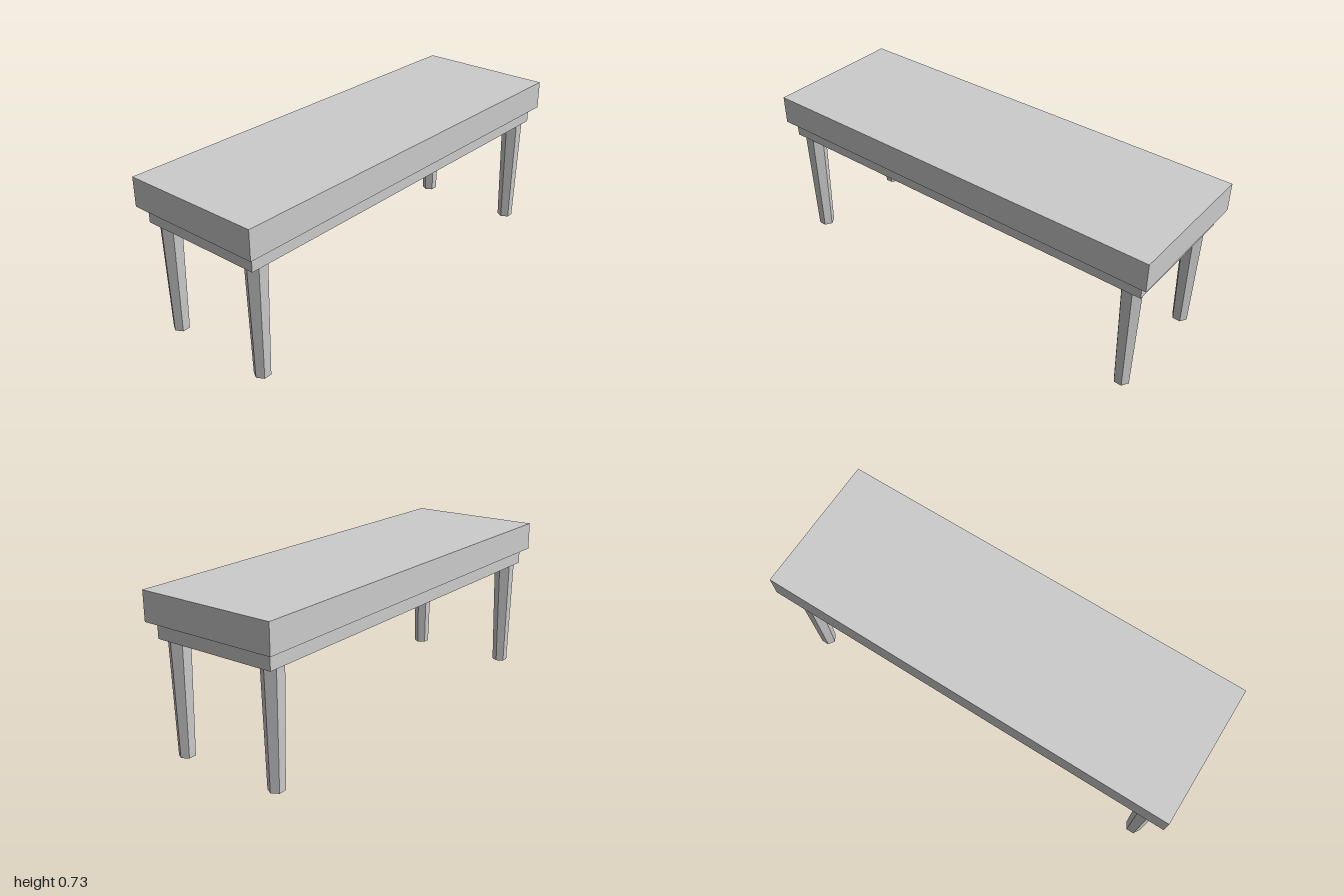
import * as THREE from 'three';

export function createModel() {
  const model = new THREE.Group();
  model.name = 'bench';

  const grey = new THREE.MeshStandardMaterial({ color: 0xcccccc, flatShading: true, side: THREE.DoubleSide });
  grey.name = 'light grey';

  const add = (name, geometry, x, y, z) => {
    const mesh = new THREE.Mesh(geometry, grey);
    mesh.name = name;
    mesh.position.set(x, y, z);
    model.add(mesh);
  };

  const apronBottom = 0.526, apronTop = 0.6, seatTop = 0.733;

  // Thick seat slab and the narrower apron under it
  add('seat', new THREE.BoxGeometry(2, seatTop - apronTop, 0.666), 0, (seatTop + apronTop) / 2, 0);
  add('apron', new THREE.BoxGeometry(1.932, apronTop - apronBottom, 0.6), 0, (apronTop + apronBottom) / 2, 0);

  // Tapered, hollow six-sided legs with an edge facing each end
  const leg = new THREE.CylinderGeometry(0.0485, 0.0365, apronBottom, 6, 1, true, Math.PI / 2);
  for (const [xName, x] of [['Left', 0.9], ['Right', -0.9]]) {
    for (const [zName, z] of [['front', 0.25], ['back', -0.25]]) {
      add(`${zName}${xName}Leg`, leg, x, apronBottom / 2, z);
    }
  }
  return model;
}
